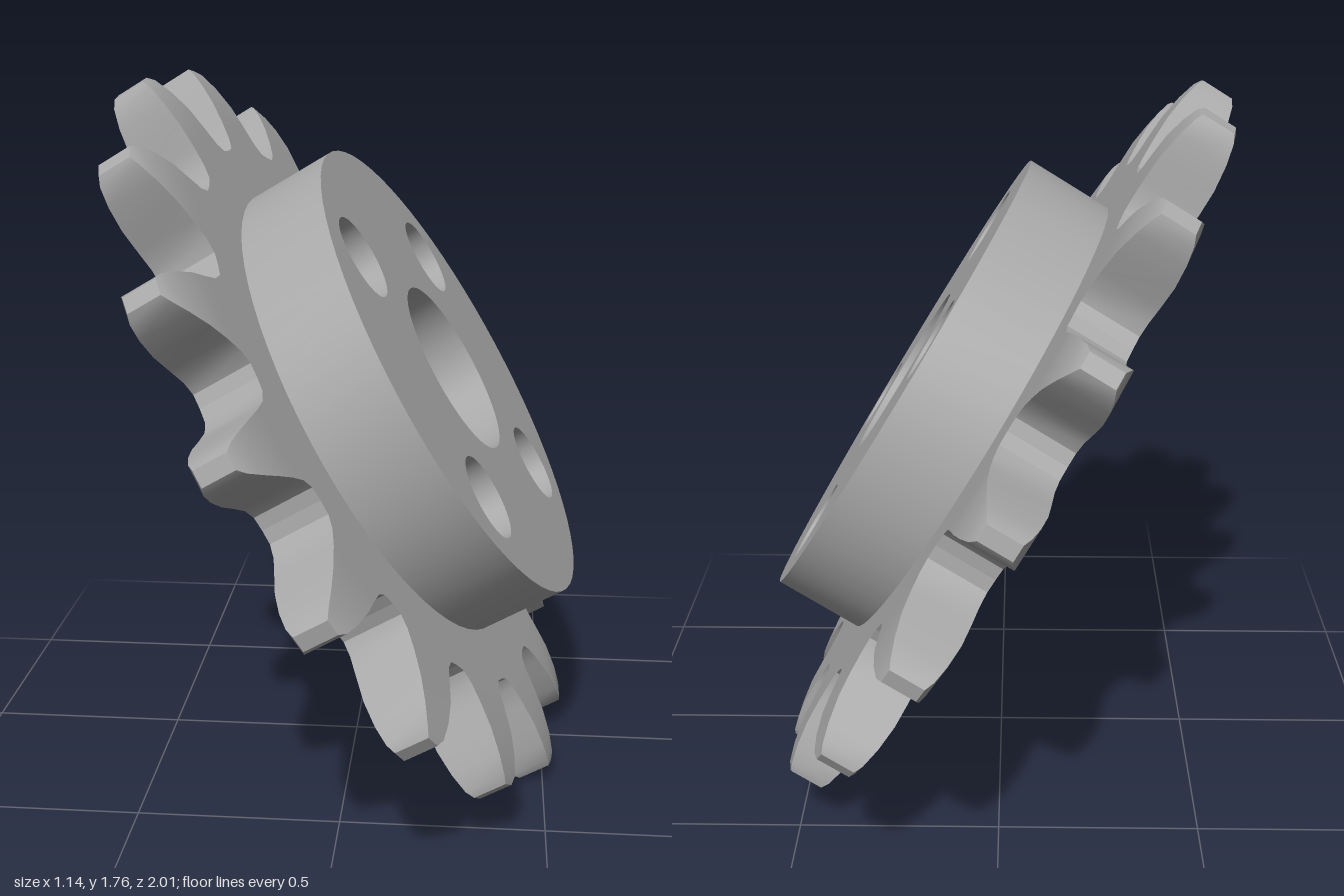
import * as THREE from 'three';
import { toCreasedNormals } from 'three/addons/utils/BufferGeometryUtils.js';

const TEETH = 16;
const STEP = (Math.PI * 2) / TEETH;
const PHASE = THREE.MathUtils.degToRad(8.3);
const HALF = 0.075;          // half thickness of the plate
const ROOT = 0.757;          // radius of the valleys between teeth
const HUB_DEPTH = 0.225;
const CREASE = 0.6;

// Bore plus four bolt holes, shared by plate and hub
function addHoles(shape) {
  const hole = (x, y, r) => {
    const path = new THREE.Path();
    path.absarc(x, y, r, 0, Math.PI * 2, true);
    shape.holes.push(path);
  };
  hole(0, 0, 0.23);
  for (let i = 0; i < 4; i++) {
    const a = THREE.MathUtils.degToRad(31 + 90 * i);
    hole(Math.cos(a) * 0.45, Math.sin(a) * 0.45, 0.107);
  }
  return shape;
}

function extrude(shape, depth, z) {
  const geo = new THREE.ExtrudeGeometry(shape, { depth, bevelEnabled: false, curveSegments: 32 });
  geo.translate(0, 0, z);
  return toCreasedNormals(geo, CREASE);
}

// One tooth: rectangular sections [distance from axis, half width, half thickness]
function toothGeometry() {
  const rows = [
    [ROOT * Math.cos(STEP / 2), ROOT * Math.sin(STEP / 2), HALF],
    [0.752, 0.115, HALF], [0.78, 0.094, HALF], [0.83, 0.08, HALF],
    [0.89, 0.067, 0.073], [0.95, 0.051, 0.064], [0.995, 0.035, 0.052], [1.012, 0.02, 0.042],
  ];
  const pos = [];
  const index = [];
  for (const [y, w, t] of rows) pos.push(-w, y, t, w, y, t, w, y, -t, -w, y, -t);
  for (let j = 0; j < rows.length - 1; j++) {
    for (let k = 0; k < 4; k++) {
      const a = j * 4 + k;
      const b = j * 4 + ((k + 1) % 4);
      index.push(a, b, b + 4, a, b + 4, a + 4);
    }
  }
  const e = (rows.length - 1) * 4;
  index.push(e, e + 1, e + 2, e, e + 2, e + 3);
  const geo = new THREE.BufferGeometry();
  geo.setAttribute('position', new THREE.Float32BufferAttribute(pos, 3));
  geo.setIndex(index);
  return toCreasedNormals(geo, CREASE);
}

export function createModel() {
  const model = new THREE.Group();
  model.name = 'sprocket';
  const steel = new THREE.MeshStandardMaterial({ color: 0xaaaaaa });
  steel.name = 'steel grey';
  const add = (name, geo) => {
    const mesh = new THREE.Mesh(geo, steel);
    mesh.name = name;
    wheel.add(mesh);
    return mesh;
  };

  // Wheel is built around z, then tilted
  const wheel = new THREE.Group();
  wheel.name = 'wheel';
  model.add(wheel);

  // Plate core: its corners lie in the tooth valleys
  const corners = [];
  for (let i = 0; i < TEETH; i++) {
    const a = PHASE + (i + 0.5) * STEP;
    corners.push(new THREE.Vector2(Math.cos(a) * ROOT, Math.sin(a) * ROOT));
  }
  add('plate', extrude(addHoles(new THREE.Shape(corners)), HALF * 2, -HALF));

  // Teeth
  const tooth = toothGeometry();
  for (let i = 0; i < TEETH; i++) add('tooth', tooth).rotation.z = PHASE + i * STEP;

  // Raised hub
  const disc = new THREE.Shape();
  disc.absarc(0, 0, 0.625, 0, Math.PI * 2, false);
  add('hub', extrude(addHoles(disc), HUB_DEPTH, HALF));

  // Lean the axle up and to the side
  const axle = new THREE.Vector3(0.855, 0.512, 0.08).normalize();
  const up = new THREE.Vector3(-axle.y, axle.x, 0).normalize();
  const side = new THREE.Vector3().crossVectors(up, axle);
  wheel.quaternion.setFromRotationMatrix(new THREE.Matrix4().makeBasis(side, up, axle));
  wheel.position.set(-0.005, 0.868, -0.003);
  return model;
}
